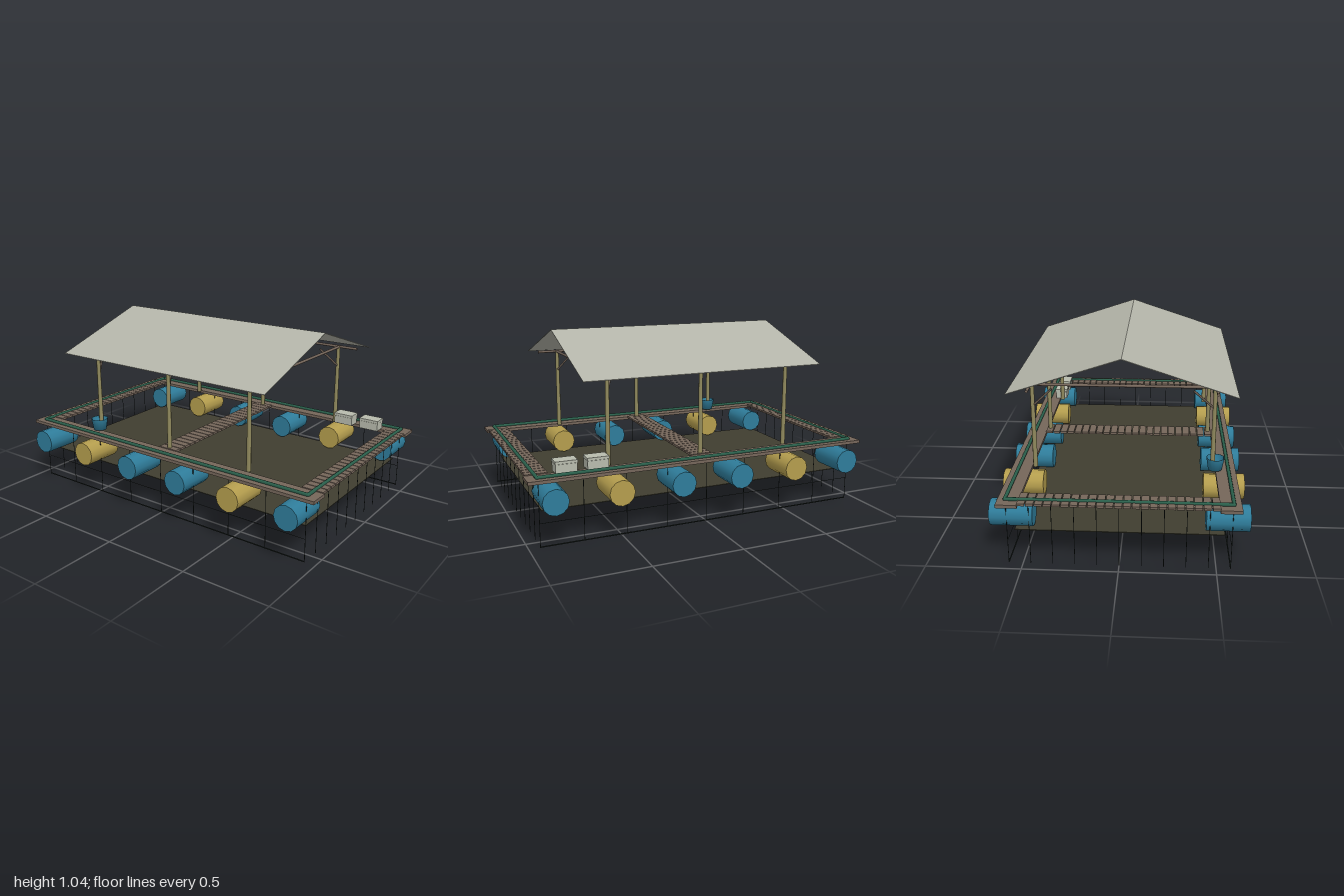
import * as THREE from 'three';

const mat = (name, color, side = THREE.FrontSide) => {
  const m = new THREE.MeshStandardMaterial({ color, side });
  m.name = name;
  return m;
};

export function createModel() {
  const root = new THREE.Group();
  root.name = 'floatingFishCage';
  const wood = mat('weatheredWood', 0x75665a);
  const post = mat('postTimber', 0x928b5e);
  const blue = mat('blueBarrel', 0x2f7d9b);
  const yellow = mat('yellowBarrel', 0xb59e4e);
  const roofing = mat('roofSheet', 0xb4b5a9);
  const foam = mat('foamBox', 0xb9bcae);
  const rope = mat('greenRope', 0x2a5f4b);
  const net = mat('darkNet', 0x403e30, THREE.DoubleSide);
  const line = mat('netLine', 0x1c2420);

  const group = (name) => {
    const g = new THREE.Group();
    g.name = name;
    root.add(g);
    return g;
  };
  const add = (parent, name, geo, material, x = 0, y = 0, z = 0) => {
    const m = new THREE.Mesh(geo, material);
    m.name = name;
    m.position.set(x, y, z);
    parent.add(m);
    return m;
  };
  const box = (parent, name, material, w, h, d, x, y, z) =>
    add(parent, name, new THREE.BoxGeometry(w, h, d), material, x, y, z);
  // Round pole between two points
  const pole = (parent, name, material, a, b, r0, r1 = r0, sides = 8) => {
    const p = new THREE.Vector3(...a), q = new THREE.Vector3(...b);
    const dir = q.clone().sub(p);
    const m = add(parent, name, new THREE.CylinderGeometry(r1, r0, dir.length(), sides), material);
    m.position.copy(p).add(q).multiplyScalar(0.5);
    m.quaternion.setFromUnitVectors(new THREE.Vector3(0, 1, 0), dir.normalize());
    return m;
  };

  // Deck: long side walkways, slatted ends and a slatted middle bridge
  const deck = group('deck');
  for (const s of [-1, 1]) box(deck, 'sideWalkway', wood, 0.11, 0.018, 2, s * 0.56, 0.359, 0);
  const slats = 23, pitch = 1.02 / slats;
  for (let i = 0; i < slats; i++) {
    const x = (i - (slats - 1) / 2) * pitch;
    for (const s of [-1, 1]) box(deck, 'endSlat', wood, pitch - 0.005, 0.013, 0.12, x, 0.367, s * 0.932);
    box(deck, 'bridgeSlat', wood, pitch - 0.005, 0.013, 0.12, x, 0.367, 0);
  }
  for (const s of [-1, 1]) box(deck, 'endStringer', wood, 1.02, 0.006, 0.05, 0, 0.358, s * 0.935);

  // Rope rail around the deck
  const rail = group('ropeRail');
  for (const s of [-1, 1]) {
    pole(rail, 'sideRope', rope, [s * 0.575, 0.374, -0.945], [s * 0.575, 0.374, 0.945], 0.01);
    pole(rail, 'endRope', rope, [-0.575, 0.374, s * 0.945], [0.575, 0.374, s * 0.945], 0.01);
    for (const t of [-1, 1]) add(rail, 'ropeCorner', new THREE.SphereGeometry(0.01, 8, 6), rope, s * 0.575, 0.374, t * 0.945);
  }

  // Barrel floats
  const floats = group('floats');
  for (const s of [-1, 1]) {
    for (let i = 0; i < 6; i++) {
      const m = i === 1 || i === 4 ? yellow : blue;
      const b = add(floats, 'barrel', new THREE.CylinderGeometry(0.07, 0.07, 0.224, 12), m, s * 0.554, 0.263, (i - 2.5) * 0.35);
      b.rotation.z = Math.PI / 2;
    }
  }

  // Net floor and hanging lines
  const cage = group('netCage');
  box(cage, 'netFloor', net, 1.08, 0.004, 1.84, 0, 0.184, 0);
  for (const s of [-1, 1]) {
    for (let i = 0; i <= 10; i++) {
      const x = (i - 5) * 0.115;
      pole(cage, 'endNetLine', line, [x, 0, s * 0.94], [x, 0.36, s * 0.94], 0.0018, 0.0018, 5);
    }
    for (let i = 1; i < 8; i++) {
      const z = (i - 4) * 0.235;
      pole(cage, 'sideNetLine', line, [s * 0.575, 0, z], [s * 0.575, 0.36, z], 0.0018, 0.0018, 5);
    }
    pole(cage, 'bottomLine', line, [s * 0.575, 0.004, -0.94], [s * 0.575, 0.004, 0.94], 0.0035, 0.0035, 5);
    pole(cage, 'middleLine', line, [s * 0.575, 0.13, -0.94], [s * 0.575, 0.13, 0.94], 0.0015, 0.0015, 5);
  }

  // Shelter frame
  const frame = group('shelterFrame');
  for (const z of [-0.54, 0, 0.54]) {
    for (const s of [-1, 1]) {
      pole(frame, 'post', post, [s * 0.488, 0.366, z], [s * 0.488, 0.848, z], 0.0135, 0.011, 8);
      pole(frame, 'brace', wood, [s * 0.48, 0.732, z], [s * 0.372, 0.846, z - 0.065], 0.006, 0.006, 6);
    }
    pole(frame, 'crossBeam', wood, [-0.505, 0.846, z], [0.505, 0.846, z], 0.008);
  }
  for (const s of [-1, 1]) pole(frame, 'sideBeam', wood, [s * 0.495, 0.847, -0.66], [s * 0.495, 0.847, 0.66], 0.008);

  // Pitched sheet roof
  const roof = group('roof');
  const shape = new THREE.Shape();
  [[-0.6, 0.841], [0, 1.037], [0.6, 0.841], [0.6, 0.844], [0, 1.041], [-0.6, 0.844]]
    .forEach(([x, y], i) => (i ? shape.lineTo(x, y) : shape.moveTo(x, y)));
  add(roof, 'roofSheets', new THREE.ExtrudeGeometry(shape, { depth: 1.4, bevelEnabled: false }), roofing, 0, 0, -0.7);

  // Bucket around one post
  const bucket = group('bucket');
  bucket.position.set(-0.502, 0.374, -0.54);
  const profile = [[0, 0], [0.038, 0], [0.05, 0.068], [0.046, 0.068], [0.036, 0.006], [0, 0.006]]
    .map(([x, y]) => new THREE.Vector2(x, y));
  const bucketMat = mat('bucketBlue', 0x2f7d9b, THREE.DoubleSide);
  add(bucket, 'bucketShell', new THREE.LatheGeometry(profile, 14), bucketMat);

  // Foam boxes with lids
  const boxes = group('foamBoxes');
  for (const z of [0.78, 0.61]) {
    box(boxes, 'foamBox', foam, 0.074, 0.047, 0.116, 0.498, 0.391, z);
    box(boxes, 'foamLid', foam, 0.08, 0.015, 0.12, 0.498, 0.424, z);
  }
  return root;
}
